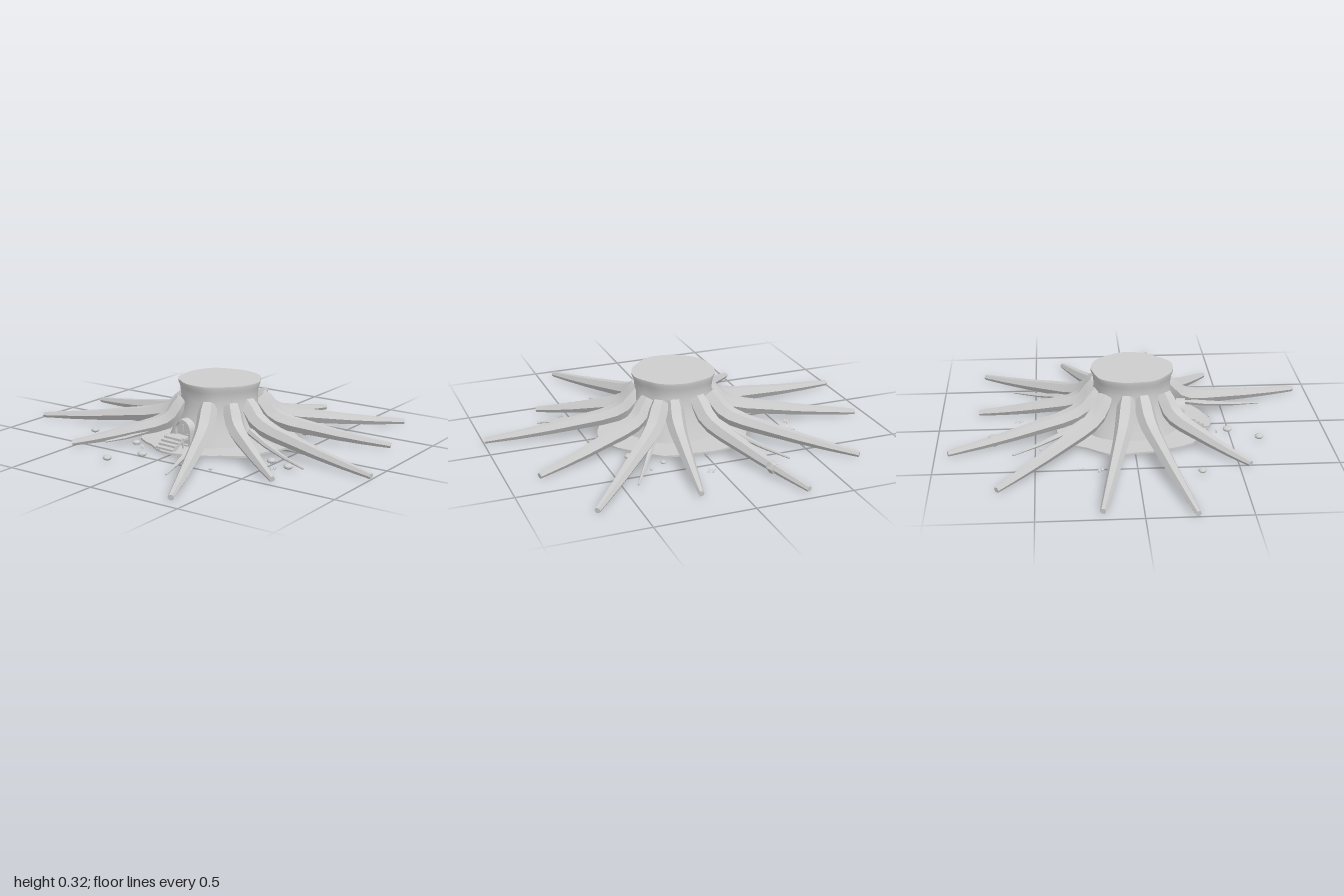
import * as THREE from 'three';
import { toCreasedNormals } from 'three/addons/utils/BufferGeometryUtils.js';

const V = (x, y, z) => new THREE.Vector3(x, y, z);

// Skin a list of equal rings (counterclockwise about the direction of travel), closed at both ends
function loft(rings, crease = 0.6) {
  const n = rings[0].length, pos = [], idx = [];
  rings.forEach(r => r.forEach(p => pos.push(p.x, p.y, p.z)));
  for (let i = 0; i < rings.length - 1; i++) {
    for (let j = 0; j < n; j++) {
      const a = i * n + j, b = i * n + (j + 1) % n;
      idx.push(a, b, a + n, b, b + n, a + n);
    }
  }
  const addCap = (k, flip) => {
    const c = rings[k].reduce((s, p) => s.add(p), V(0, 0, 0)).divideScalar(n);
    const ci = pos.push(c.x, c.y, c.z) / 3 - 1;
    for (let j = 0; j < n; j++) {
      const a = k * n + j, b = k * n + (j + 1) % n;
      flip ? idx.push(ci, b, a) : idx.push(ci, a, b);
    }
  };
  addCap(0, true);
  addCap(rings.length - 1, false);
  const g = new THREE.BufferGeometry();
  g.setAttribute('position', new THREE.Float32BufferAttribute(pos, 3));
  g.setIndex(idx);
  return toCreasedNormals(g, crease);
}

// Horizontal wobbly ring
const disc = (cx, cz, y, r, n, wobble) => Array.from({ length: n }, (_, j) => {
  const a = j / n * Math.PI * 2, k = r * (1 + wobble(a));
  return V(cx + k * Math.cos(a), y, cz - k * Math.sin(a));
});

// Six-sided tapering limb along a path
function limb(points, radii) {
  const rings = points.map((p, i) => {
    const t = points[Math.min(i + 1, points.length - 1)].clone().sub(points[Math.max(i - 1, 0)]).normalize();
    const side = V(0, 1, 0).cross(t).normalize();
    const up = t.clone().cross(side);
    return Array.from({ length: 6 }, (_, j) => {
      const a = j / 6 * Math.PI * 2;
      return p.clone().addScaledVector(side, radii[i] * Math.cos(a)).addScaledVector(up, radii[i] * Math.sin(a));
    });
  });
  return loft(rings);
}

export function createModel() {
  const model = new THREE.Group();
  const grey = new THREE.MeshStandardMaterial({ color: 0xcccccc });
  const add = (name, geo, x = 0, y = 0, z = 0, parent = model) => {
    const m = new THREE.Mesh(geo, grey);
    m.name = name;
    m.position.set(x, y, z);
    parent.add(m);
    return m;
  };

  // Ground patch
  const rough = a => 0.03 * Math.sin(3 * a + 1) + 0.025 * Math.sin(7 * a) + 0.015 * Math.sin(11 * a + 2);
  add('ground', loft([disc(0.025, 0, 0.012, 0.4, 40, rough), disc(0.025, 0, 0.022, 0.4, 40, rough)]));

  // Stump with an uneven rim
  const bark = a => 0.02 * Math.sin(3 * a + 0.6) + 0.018 * Math.sin(5 * a + 2) + 0.01 * Math.sin(9 * a);
  const stump = [[0.015, 0.26], [0.08, 0.235], [0.16, 0.21], [0.24, 0.198], [0.29, 0.204], [0.312, 0.213], [0.325, 0.213]];
  add('stump', loft(stump.map(([y, r]) => disc(0.025, 0.003, y, r, 48, bark)), 0.7));

  // Main roots: base x, z and tip x, z
  const roots = [
    [-0.04, -0.18, -0.30, -0.935], [0.09, -0.18, 0.19, -0.80], [0.16, -0.17, 0.69, -0.785],
    [0.20, -0.10, 0.84, -0.345], [0.205, 0.02, 0.995, 0.15], [0.18, 0.12, 0.64, 0.455],
    [0.085, 0.19, 0.41, 0.93], [-0.10, 0.16, -0.51, 0.555], [-0.155, 0.05, -0.995, 0.24],
    [-0.155, -0.03, -0.945, -0.19], [-0.12, -0.14, -0.705, -0.68]];
  // Fraction of length, height of the upper edge, radius
  const profile = [[-0.01, 0.262, 0.042], [0.03, 0.232, 0.05], [0.08, 0.188, 0.05], [0.15, 0.156, 0.047],
    [0.25, 0.132, 0.042], [0.4, 0.11, 0.037], [0.6, 0.08, 0.03], [0.8, 0.054, 0.023], [1, 0.03, 0.015]];
  for (const [x0, z0, x1, z1] of roots) {
    const path = profile.map(([s, top, r]) => V(x0 + (x1 - x0) * s, top - r * 0.87, z0 + (z1 - z0) * s));
    add('root', limb(path, profile.map(p => p[2])));
  }

  // Knot on the long back root
  add('rootKnot', limb([V(-0.212, 0.045, -0.69), V(-0.217, 0.044, -0.71), V(-0.223, 0.042, -0.73)], [0.028, 0.033, 0.027]));

  // Thin side roots
  const thin = [[-0.13, -0.24, -0.355, -0.61], [0.2, -0.22, 0.435, -0.62], [0.28, 0.1, 0.69, 0.26],
    [0.1, 0.27, 0.21, 0.705], [-0.17, 0.24, -0.365, 0.46], [0.14, 0.27, 0.2, 0.56]];
  for (const [x0, z0, x1, z1] of thin) {
    const path = [[0, 0.1], [0.3, 0.065], [0.65, 0.04], [1, 0.025]]
      .map(([s, y]) => V(x0 + (x1 - x0) * s, y, z0 + (z1 - z0) * s));
    add('thinRoot', limb(path, [0.02, 0.015, 0.01, 0.005]));
  }

  // Arched doorway
  const entrance = new THREE.Group();
  entrance.name = 'entrance';
  entrance.position.set(-0.012, 0, 0.235);
  entrance.rotation.y = -0.1;
  model.add(entrance);
  const arch = (Path, r, bottom) => {
    const p = new Path();
    p.moveTo(-r, bottom);
    p.lineTo(r, bottom);
    p.lineTo(r, 0.1);
    p.absarc(0, 0.1, r, 0, Math.PI, false);
    p.lineTo(-r, bottom);
    return p;
  };
  const frame = arch(THREE.Shape, 0.057, 0.02);
  frame.holes.push(arch(THREE.Path, 0.043, 0.03));
  add('doorFrame', new THREE.ExtrudeGeometry(frame, { depth: 0.045, bevelEnabled: false, curveSegments: 10 }), 0, 0, 0, entrance);
  add('door', new THREE.ExtrudeGeometry(arch(THREE.Shape, 0.044, 0.03), { depth: 0.03, bevelEnabled: false, curveSegments: 10 }), 0, 0, 0, entrance);
  add('doorWindow', new THREE.BoxGeometry(0.008, 0.035, 0.006), 0, 0.11, 0.033, entrance);
  add('doorKnob', new THREE.SphereGeometry(0.005, 8, 6), 0.03, 0.08, 0.034, entrance);

  // Steps with side boards and posts
  const stairs = new THREE.Group();
  stairs.name = 'stairs';
  stairs.position.set(-0.035, 0, 0.355);
  stairs.rotation.y = -0.08;
  model.add(stairs);
  for (let i = 0; i < 4; i++) {
    add('step', new THREE.BoxGeometry(0.112, 0.01, 0.025), 0, 0.068 - i * 0.013, -0.033 + i * 0.022, stairs);
  }
  for (const s of [-1, 1]) {
    const board = add('stairSide', new THREE.BoxGeometry(0.006, 0.014, 0.1), s * 0.053, 0.04, 0, stairs);
    board.rotation.x = 0.53;
    add('stairPost', new THREE.BoxGeometry(0.007, 0.055, 0.007), s * 0.053, 0.047, -0.04, stairs);
  }
  add('landing', new THREE.BoxGeometry(0.11, 0.01, 0.06), 0.005, 0.068, -0.07, stairs);

  // Rocks: x, z, radius
  const rocks = [[-0.565, 0.31, 0.021], [-0.1, 0.495, 0.024], [-0.2, 0.645, 0.023], [0.485, 0.22, 0.023],
    [0.6, 0.25, 0.024], [0.37, -0.29, 0.023], [0.235, -0.415, 0.015], [-0.245, 0.36, 0.021],
    [0.32, 0.5, 0.009], [0.31, -0.245, 0.018]];
  rocks.forEach(([x, z, r], i) => {
    const rock = add('rock', toCreasedNormals(new THREE.IcosahedronGeometry(r, 1), 0.3), x, 0.018, z);
    rock.scale.y = 0.6;
    rock.rotation.y = i;
  });

  // Grass tufts of small triangular blades
  const tufts = [[-0.52, -0.28], [0.055, -0.59], [0.485, -0.04], [0.555, 0.32], [0.015, -0.41], [0.07, 0.4]];
  tufts.forEach(([x, z], i) => {
    const tuft = new THREE.Group();
    tuft.name = 'grassTuft';
    tuft.position.set(x, 0.012, z);
    model.add(tuft);
    for (let j = 0; j < 9; j++) {
      const a = j * 0.7 + i, d = j % 2 ? 0.022 : 0.014;
      const blade = add('grassBlade', new THREE.ConeGeometry(0.0016, 0.016, 3), d * Math.cos(a), 0.006, d * Math.sin(a), tuft);
      blade.rotation.set(0.9 * Math.sin(a), 0, -0.9 * Math.cos(a));
    }
  });

  // Small mushrooms, some growing on a root: x, base height, z
  const mushrooms = [[-0.535, 0.01, -0.175], [-0.545, 0.01, -0.19], [-0.295, 0.015, -0.475], [0.32, 0.015, -0.48],
    [0.27, 0.07, 0.62], [0.285, 0.066, 0.655], [-0.15, 0.02, 0.43]];
  for (const [x, y, z] of mushrooms) {
    add('mushroomStem', new THREE.CylinderGeometry(0.003, 0.004, 0.014, 6), x, y + 0.007, z);
    add('mushroomCap', new THREE.ConeGeometry(0.01, 0.01, 8), x, y + 0.018, z);
  }
  return model;
}
